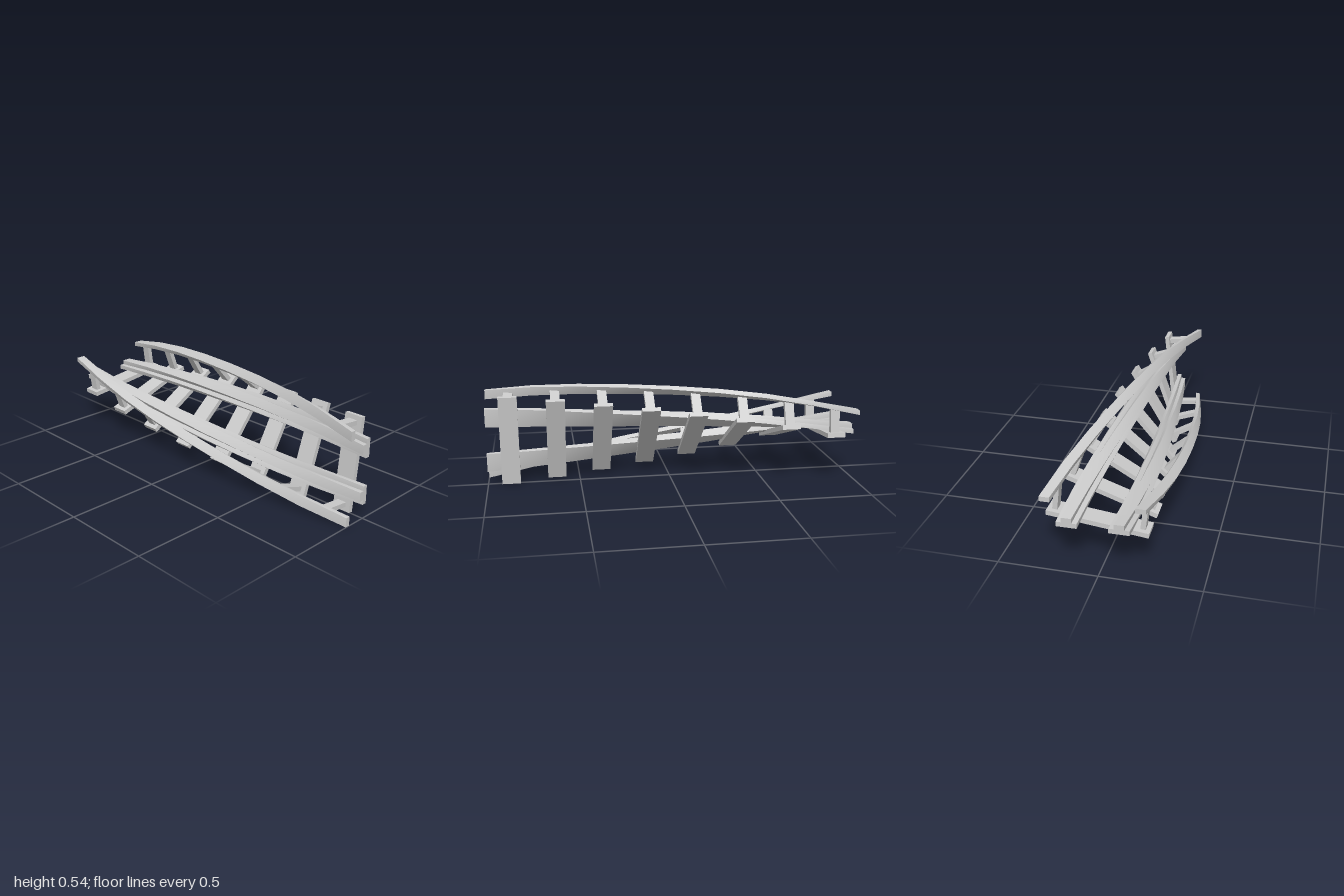
import * as THREE from 'three';
import { toCreasedNormals } from 'three/addons/utils/BufferGeometryUtils.js';

const SEGMENTS = 8;
const CENTER = { x: 0.02, y: 0.25 };
const material = new THREE.MeshStandardMaterial({ color: 0xcccccc });

// Roll of the track at depth z: level at the back, a quarter turn at the front
function roll(z) {
  const t = (z + 1) / 2;
  return t * Math.PI / 2 + 0.046 * Math.sin(t * Math.PI * 2);
}

// Extrude a profile along the track and twist each ring by the roll
function twistedBeam(name, points) {
  const shape = new THREE.Shape(points.map(([u, v]) => new THREE.Vector2(u, v)));
  const geometry = new THREE.ExtrudeGeometry(shape, { depth: 2, steps: SEGMENTS, bevelEnabled: false });
  geometry.translate(0, 0, -1);
  const pos = geometry.attributes.position;
  const p = new THREE.Vector3();
  const axis = new THREE.Vector3(0, 0, 1);
  for (let i = 0; i < pos.count; i++) {
    p.fromBufferAttribute(pos, i).applyAxisAngle(axis, roll(p.z));
    pos.setXYZ(i, p.x, p.y, p.z);
  }
  const mesh = new THREE.Mesh(toCreasedNormals(geometry, 0.6), material);
  mesh.name = name;
  return mesh;
}

function box(name, w, h, d, x, y) {
  const mesh = new THREE.Mesh(new THREE.BoxGeometry(w, h, d), material);
  mesh.position.set(x, y, 0);
  mesh.name = name;
  return mesh;
}

export function createModel() {
  const model = new THREE.Group();
  model.name = 'twistedTrack';
  const track = new THREE.Group();
  track.name = 'track';
  track.position.set(CENTER.x, CENTER.y, 0);
  model.add(track);

  for (const [side, s] of [['left', 1], ['right', -1]]) {
    // Running rail: wide foot with a narrow head
    const c = s * 0.125;
    track.add(twistedBeam(side + 'Rail', [
      [c - 0.05, 0], [c + 0.05, 0], [c + 0.05, 0.025], [c + 0.025, 0.025],
      [c + 0.025, 0.05], [c - 0.025, 0.05], [c - 0.025, 0.025], [c - 0.05, 0.025],
    ]));
    // Handrail
    const h = s * 0.225;
    track.add(twistedBeam(side + 'Handrail', [
      [h - 0.025, 0.125], [h + 0.025, 0.125], [h + 0.025, 0.15], [h - 0.025, 0.15],
    ]));
  }

  // Cross ties, each carrying two handrail posts
  for (let i = 0; i < SEGMENTS; i++) {
    const z = -1 + (i + 0.5) * 2 / SEGMENTS;
    const tie = new THREE.Group();
    tie.name = 'tieAssembly' + (i + 1);
    tie.position.z = z;
    tie.rotation.z = roll(z);
    tie.add(box('tie', 0.5, 0.025, 0.1, 0, -0.0125));
    tie.add(box('leftPost', 0.025, 0.127, 0.05, 0.214, 0.0635));
    tie.add(box('rightPost', 0.025, 0.127, 0.05, -0.214, 0.0635));
    track.add(tie);
  }
  return model;
}
